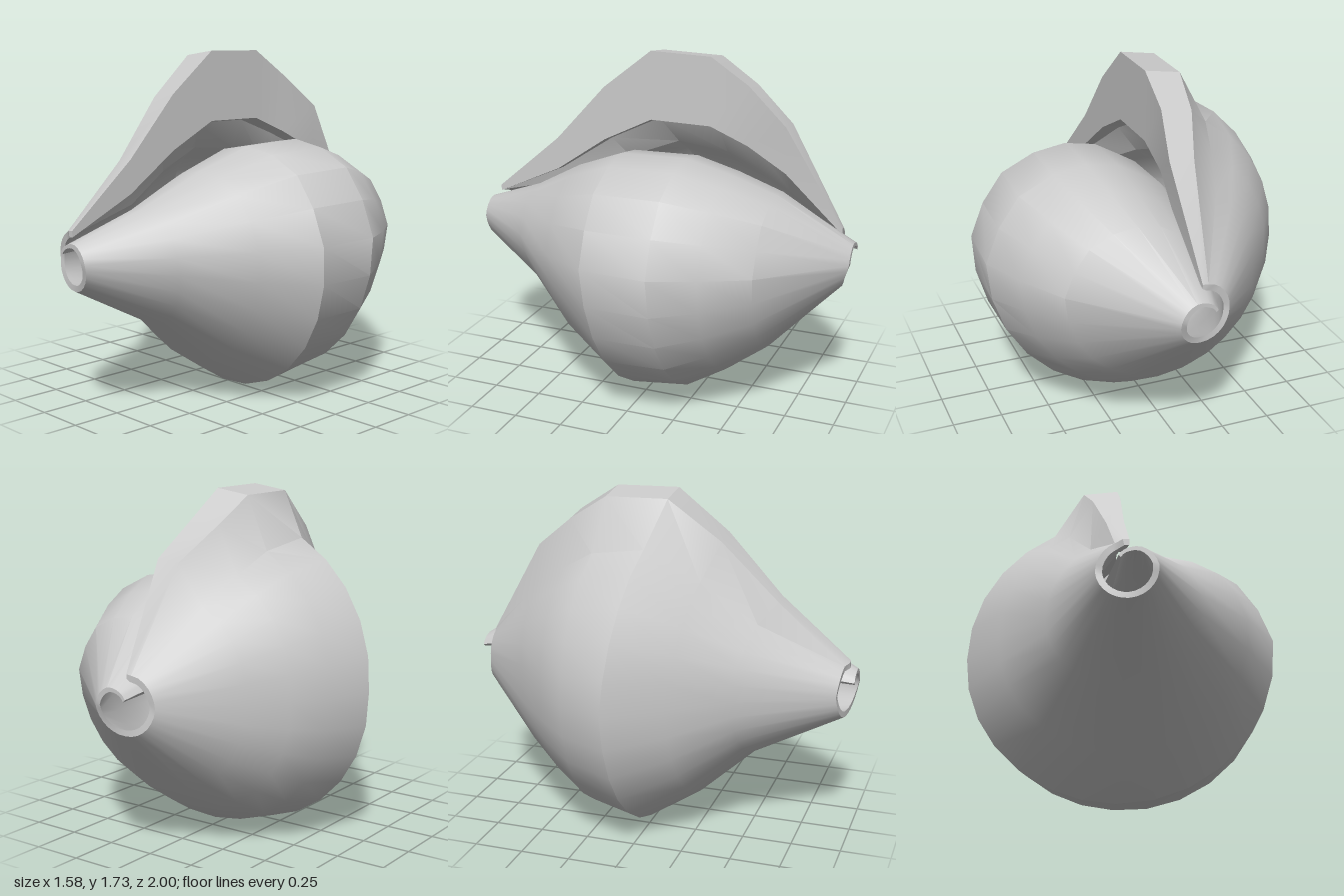
import * as THREE from 'three';
import { toCreasedNormals } from 'three/addons/utils/BufferGeometryUtils.js';

// Belly rows from front to back, as a share of the belly radius and a z position.
// The belly is level at the sides and tilted where the wall passes the left.
const LEVEL = { r: [.46, .77, .98, 1, .87, .69], z: [.66, .38, .12, -.22, -.43, -.65] };
const TILTED = { r: [.48, .78, 1, .89, .745, .56], z: [.45, .20, -.06, -.29, -.44, -.60] };
// Wall growth: angle clockwise from the top, belly radius, end radius, tilt, front end z, back end z
const GROWTH = [
  [-45, .28, .07, 0, 1, -1],
  [0, .41, .09, 0, 1, -1],
  [30, .59, .11, 0, 1, -1],
  [58, .75, .12, 0, 1, -1],
  [85, .815, .13, 0, 1, -1],
  [180, .78, .14, .65, .96, -.94],
  [270, .765, .15, 1, .93, -.91],
  [335, .785, .15, .6, .95, -.92],
  [349, .96, .15, .2, .97, -.93],
  [360, .97, .15, .2, .97, -.93],
];
// Inner radius as a share of the outer radius
const END_HOLLOW = .79;
const BELLY_HOLLOW = .63;
const CENTRE = { x: -.03, y: .78 };
const ROWS = 8;
const RING = ROWS * 2;
const { lerp, degToRad } = THREE.MathUtils;

// One closed ring: outer rows front to back, then inner rows back to front
function addRing(positions, [deg, belly, end, tilt, front, back]) {
  const blend = (key) => LEVEL[key].map((v, k) => lerp(v, TILTED[key][k], tilt));
  const radii = [end, ...blend('r').map((r) => r * belly), end];
  const zs = [front, ...blend('z'), back];
  for (let j = 0; j < RING; j++) {
    const row = j < ROWS ? j : RING - 1 - j;
    const hollow = row === 0 || row === ROWS - 1 ? END_HOLLOW : BELLY_HOLLOW;
    const r = radii[row] * (j < ROWS ? 1 : hollow);
    // The rear of the lip leans over the opening
    const a = degToRad(deg + (row === 6 && deg > 340 ? 4 : 0));
    positions.push(CENTRE.x + r * Math.sin(a), CENTRE.y + r * Math.cos(a), zs[row]);
  }
}

function rolledWall() {
  const positions = [];
  const index = [];
  GROWTH.slice(0, -1).forEach((from, s) => {
    const to = GROWTH[s + 1];
    const steps = Math.max(1, Math.round((to[0] - from[0]) / 13));
    for (let i = 0; i < steps; i++) addRing(positions, from.map((v, k) => lerp(v, to[k], i / steps)));
  });
  addRing(positions, GROWTH[GROWTH.length - 1]);
  const quad = (a, b, c, d) => index.push(a, b, c, a, c, d);

  // Outer skin, end rims and inner skin
  const last = positions.length / 3 - RING;
  for (let a = 0; a < last; a += RING) {
    for (let j = 0; j < RING; j++) {
      const n = (j + 1) % RING;
      quad(a + j, a + RING + j, a + RING + n, a + n);
    }
  }
  // Flat faces closing the inner curl and the outer lip
  for (let k = 0; k < ROWS - 1; k++) {
    const m = RING - 1 - k;
    quad(k, k + 1, m - 1, m);
    quad(last + m, last + m - 1, last + k + 1, last + k);
  }
  const geometry = new THREE.BufferGeometry();
  geometry.setAttribute('position', new THREE.Float32BufferAttribute(positions, 3));
  geometry.setIndex(index);
  return toCreasedNormals(geometry, 0.5);
}

export function createModel() {
  const group = new THREE.Group();
  group.name = 'spiralShell';
  const material = new THREE.MeshStandardMaterial({ color: 0xcccccc, side: THREE.DoubleSide });
  const shell = new THREE.Mesh(rolledWall(), material);
  shell.name = 'rolledShellWall';
  group.add(shell);
  return group;
}
